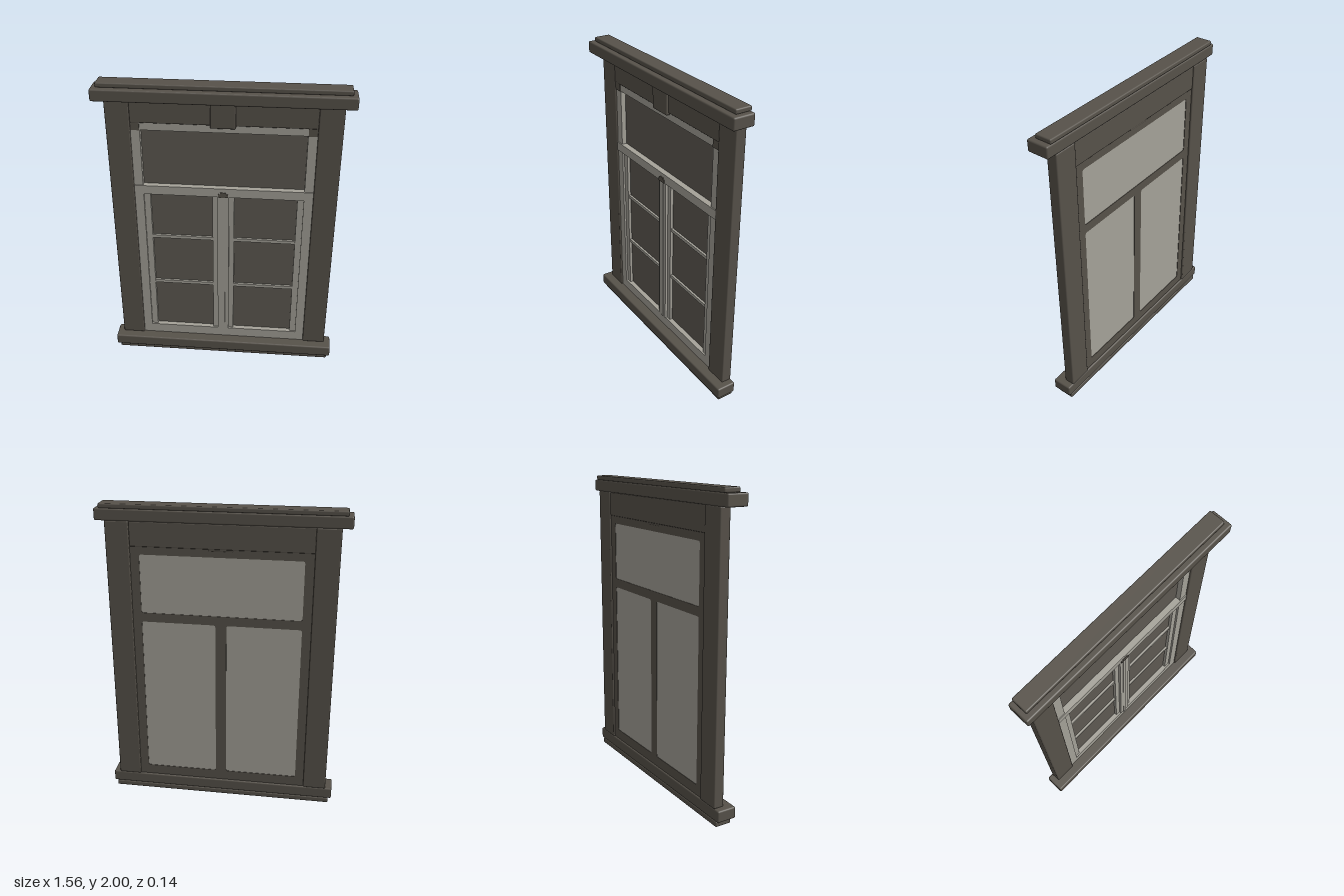
import * as THREE from 'three';
import { RoundedBoxGeometry } from 'three/addons/geometries/RoundedBoxGeometry.js';

const mat = (name, color) => {
  const m = new THREE.MeshStandardMaterial({ color });
  m.name = name;
  return m;
};

export function createModel() {
  const root = new THREE.Group();
  root.name = 'window';
  const stone = mat('darkStone', 0x57524a);
  const paint = mat('paleFrame', 0xa5a299);
  const glass = mat('darkGlass', 0x5e5a53);

  const add = (name, geometry, material) => {
    const mesh = new THREE.Mesh(geometry, material);
    mesh.name = name;
    root.add(mesh);
    return mesh;
  };
  // Box given by its limits, with softened edges when r > 0
  const block = (name, m, x0, x1, y0, y1, z0, z1, r = 0) => {
    const size = [x1 - x0, y1 - y0, z1 - z0];
    const g = r ? new RoundedBoxGeometry(...size, 2, r) : new THREE.BoxGeometry(...size);
    add(name, g, m).position.set((x0 + x1) / 2, (y0 + y1) / 2, (z0 + z1) / 2);
  };
  const trace = (path, x0, x1, y0, y1, r) => {
    path.moveTo(x0 + r, y0);
    path.lineTo(x1 - r, y0);
    path.quadraticCurveTo(x1, y0, x1, y0 + r);
    path.lineTo(x1, y1 - r);
    path.quadraticCurveTo(x1, y1, x1 - r, y1);
    path.lineTo(x0 + r, y1);
    path.quadraticCurveTo(x0, y1, x0, y1 - r);
    path.lineTo(x0, y0 + r);
    path.quadraticCurveTo(x0, y0, x0 + r, y0);
    return path;
  };

  // Stone surround
  block('baseMoulding', stone, -0.74, 0.74, 0, 0.036, -0.07, 0.04, 0.008);
  block('sill', stone, -0.76, 0.76, 0.036, 0.112, -0.07, 0.06, 0.01);
  block('cornice', stone, -0.78, 0.78, 1.895, 1.97, -0.07, 0.07, 0.01);
  block('corniceCap', stone, -0.75, 0.75, 1.97, 2.0, -0.07, 0.037, 0.008);
  block('header', stone, -0.567, 0.567, 1.74, 1.895, -0.064, -0.001, 0.006);
  block('keystone', stone, -0.077, 0.077, 1.727, 1.897, -0.06, 0.016, 0.008);
  for (const s of [-1, 1]) {
    const c = s * 0.642;
    block('sidePost', stone, c - 0.075, c + 0.075, 0.11, 1.897, -0.07, 0, 0.008);
  }

  // Openings of the fixed frame: one above, two casements below
  const openings = [
    [-0.51, 0.51, 1.31, 1.69],
    [-0.51, -0.035, 0.18, 1.25],
    [0.035, 0.51, 0.18, 1.25],
  ];
  const frameLayer = (name, m, z0, z1, r) => {
    const shape = trace(new THREE.Shape(), -0.567, 0.567, 0.11, 1.745, 0);
    for (const o of openings) shape.holes.push(trace(new THREE.Path(), ...o, r));
    const g = new THREE.ExtrudeGeometry(shape, { depth: z1 - z0, bevelEnabled: false, curveSegments: 4 });
    add(name, g, m).position.z = z0;
  };
  frameLayer('fixedFrame', paint, -0.052, -0.012, 0);
  frameLayer('frameBack', stone, -0.058, -0.052, 0.015);
  block('transom', paint, -0.566, 0.566, 1.25, 1.31, -0.03, -0.005);
  block('meetingStile', paint, -0.037, 0.037, 0.18, 1.25, -0.03, -0.008);
  block('meetingBead', paint, -0.012, 0.012, 0.18, 1.25, -0.02, -0.004);

  // Panes, dark towards the front and pale towards the back
  for (const [x0, x1, y0, y1] of openings) {
    block('paneBack', paint, x0, x1, y0, y1, -0.055, -0.05);
    block('paneFront', glass, x0, x1, y0, y1, -0.05, -0.045);
  }

  // Casement stiles and glazing bars, plus upper corner blocks
  for (const s of [-1, 1]) {
    const span = (name, m, a, b, y0, y1, z0, z1) =>
      block(name, m, Math.min(s * a, s * b), Math.max(s * a, s * b), y0, y1, z0, z1);
    span('innerSashStile', paint, 0.035, 0.07, 0.18, 1.25, -0.046, -0.025);
    span('outerSashStile', paint, 0.47, 0.51, 0.18, 1.25, -0.046, -0.025);
    for (const y of [0.55, 0.917]) span('glazingBar', paint, 0.07, 0.47, y - 0.011, y + 0.011, -0.046, -0.03);
    span('cornerBlock', stone, 0.512, 0.566, 1.69, 1.742, -0.03, -0.006);
  }

  // Latch at the top of the meeting stiles
  block('latch', stone, -0.031, 0.031, 1.25, 1.272, -0.02, 0.001);
  block('latchTop', stone, -0.018, 0.018, 1.272, 1.284, -0.02, 0.001);

  return root;
}
